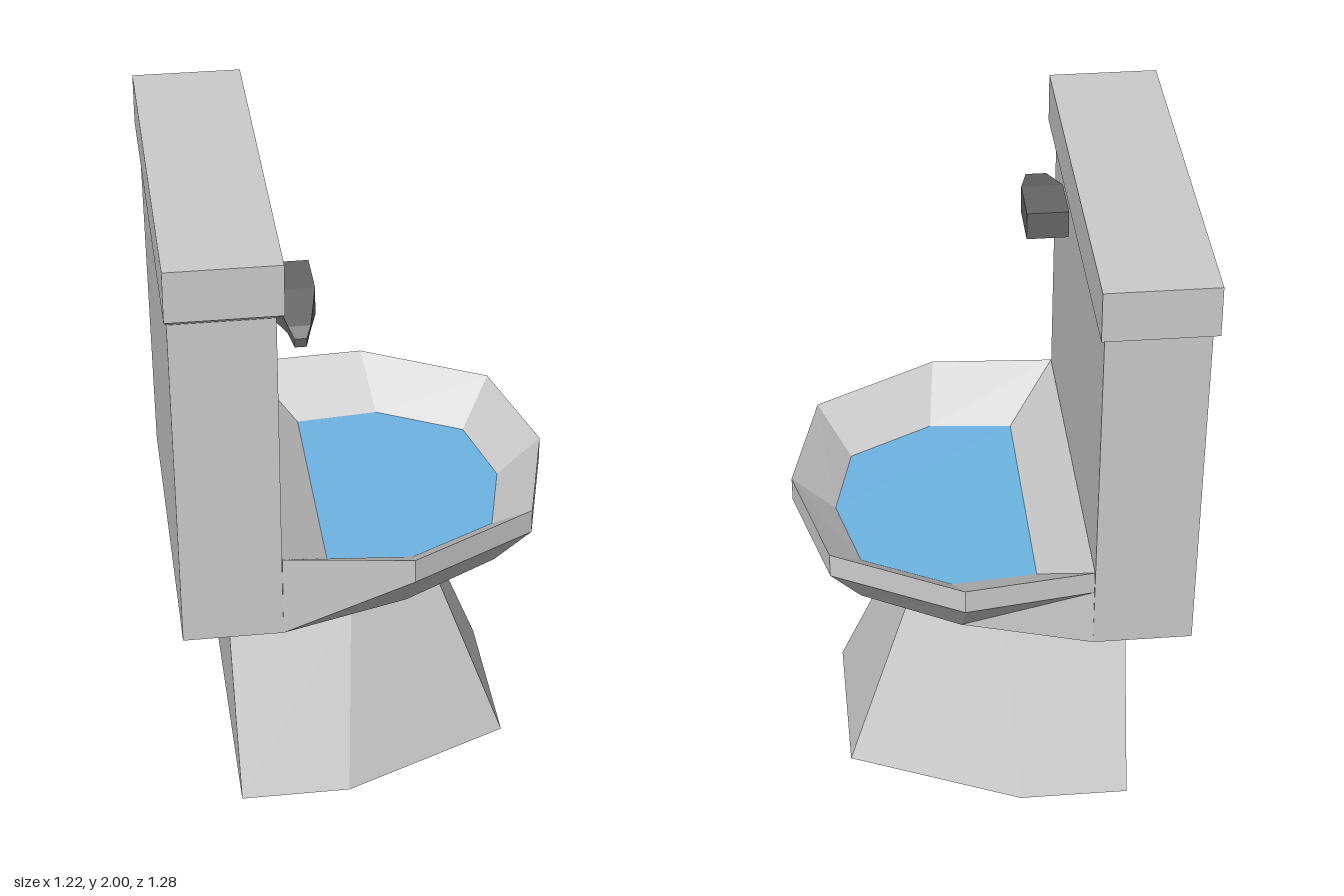
import * as THREE from 'three';

const porcelain = new THREE.MeshStandardMaterial({ color: 0xcccccc, flatShading: true });
const waterBlue = new THREE.MeshStandardMaterial({ color: 0x6db5e3, flatShading: true });
const darkMetal = new THREE.MeshStandardMaterial({ color: 0x666666, flatShading: true });

// Joins closed rings of [x, y, z] points, counterclockwise seen from the end of the loft
function loft(name, rings, material, capStart = true, capEnd = true) {
  const pos = [];
  const tri = (a, b, c) => pos.push(...a, ...b, ...c);
  for (let r = 0; r + 1 < rings.length; r++) {
    const a = rings[r], b = rings[r + 1];
    for (let i = 0; i < a.length; i++) {
      const j = (i + 1) % a.length;
      tri(a[i], a[j], b[j]);
      tri(a[i], b[j], b[i]);
    }
  }
  const first = rings[0], last = rings[rings.length - 1];
  for (let i = 1; i + 1 < first.length; i++) {
    if (capStart) tri(first[0], first[i + 1], first[i]);
    if (capEnd) tri(last[0], last[i], last[i + 1]);
  }
  const geometry = new THREE.BufferGeometry();
  geometry.setAttribute('position', new THREE.Float32BufferAttribute(pos, 3));
  geometry.computeVertexNormals();
  const mesh = new THREE.Mesh(geometry, material);
  mesh.name = name;
  return mesh;
}

// Mirrors the +z half of a ring; points on z = 0 are kept once
const mirrorRing = half => [
  ...half,
  ...half.filter(p => p[2] !== 0).reverse().map(([x, y, z]) => [x, y, -z]),
];

// Horizontal rectangle, symmetric in z
const slab = (x0, x1, y, z) => mirrorRing([[x0, y, z], [x1, y, z]]);

// Upright rectangle across the z axis
const section = (x0, x1, y0, y1, z, drop = 0) =>
  [[x0, y0, z], [x1, y0, z], [x1, y1, z - drop], [x0, y1, z - drop]];

export function createModel() {
  const model = new THREE.Group();
  model.name = 'toilet';

  // Flared foot
  model.add(loft('pedestal', [
    mirrorRing([[-0.42, 0, 0.51], [-0.075, 0, 0.51], [0.46, 0, 0.27]]),
    mirrorRing([[-0.43, 0.55, 0.28], [-0.04, 0.55, 0.28], [0.255, 0.55, 0.15]]),
  ], porcelain));

  // Bowl: underside, belly, rim and inner slope down to the water
  const waterRing = mirrorRing([[-0.13, 0.83, 0.395], [0.135, 0.83, 0.42], [0.405, 0.83, 0.275], [0.47, 0.83, 0]]);
  model.add(loft('bowl', [
    mirrorRing([[-0.04, 0.55, 0.28], [-0.04, 0.55, 0.28], [0.255, 0.55, 0.15], [0.255, 0.55, 0]]),
    mirrorRing([[-0.285, 0.695, 0.575], [0.11, 0.70, 0.46], [0.41, 0.71, 0.30], [0.41, 0.71, 0]]),
    mirrorRing([[-0.285, 0.89, 0.575], [0.11, 0.875, 0.615], [0.505, 0.875, 0.40], [0.605, 0.875, 0]]),
    mirrorRing([[-0.285, 0.965, 0.575], [0.11, 0.955, 0.615], [0.505, 0.955, 0.40], [0.605, 0.955, 0]]),
    waterRing,
  ], porcelain, false, false));
  model.add(loft('water', [waterRing], waterBlue, false, true));

  // Tank and its overhanging lid
  model.add(loft('tank', [
    slab(-0.59, -0.285, 0.695, 0.575),
    slab(-0.60, -0.29, 1.80, 0.58),
  ], porcelain));
  model.add(loft('tankLid', [
    slab(-0.60, -0.29, 1.80, 0.58),
    slab(-0.61, -0.272, 1.84, 0.64),
    slab(-0.61, -0.272, 2.0, 0.64),
  ], porcelain));

  // Flush handle, tapering to a bent tip
  model.add(loft('flushHandle', [
    section(-0.285, -0.155, 1.675, 1.765, 0.195),
    section(-0.285, -0.155, 1.675, 1.765, 0.36),
    section(-0.25, -0.185, 1.695, 1.725, 0.49, -0.015),
    section(-0.235, -0.20, 1.67, 1.70, 0.53, -0.005),
  ], darkMetal));

  return model;
}
